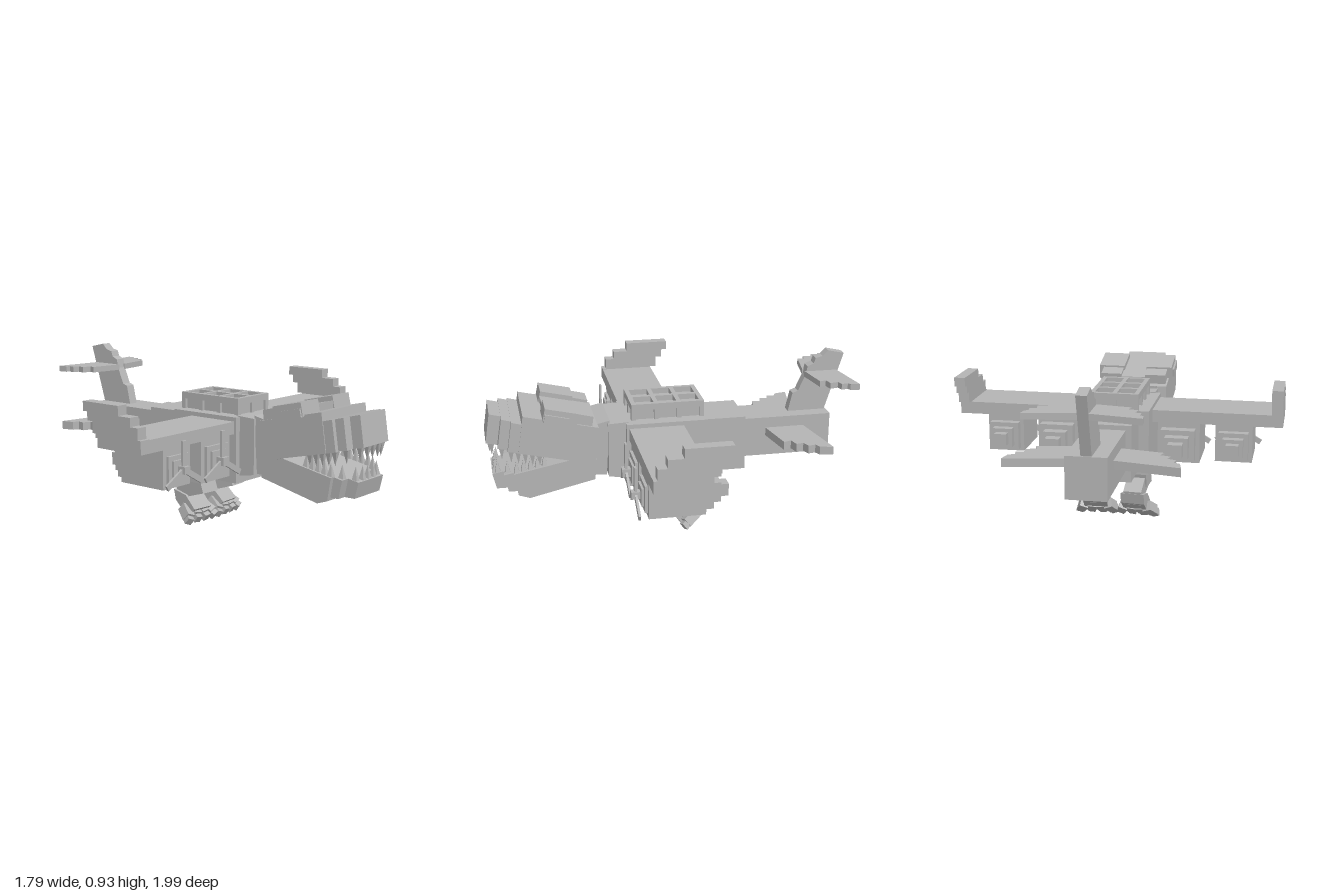
import * as THREE from 'three';

export function createModel() {
  const model = new THREE.Group();
  const grey = new THREE.MeshStandardMaterial({ color: 0xb4b4b4, flatShading: true });
  grey.name = 'grey';

  const add = (name, geometry, parent = model) => {
    const mesh = new THREE.Mesh(geometry, grey);
    mesh.name = name;
    parent.add(mesh);
    return mesh;
  };
  // Box given by its limits on each axis
  const block = (name, [x0, x1], [y0, y1], [z0, z1], parent) => {
    const g = new THREE.BoxGeometry(x1 - x0, y1 - y0, z1 - z0);
    g.translate((x0 + x1) / 2, (y0 + y1) / 2, (z0 + z1) / 2);
    return add(name, g, parent);
  };
  const extrude = (pts, depth) => {
    const shape = new THREE.Shape(pts.map(p => new THREE.Vector2(...p)));
    return new THREE.ExtrudeGeometry(shape, { depth, bevelEnabled: false }).translate(0, 0, -depth / 2);
  };
  // Side profile [z, y] given thickness along x
  const sideSlab = (name, pts, width, x = 0, parent) =>
    add(name, extrude(pts, width).rotateY(-Math.PI / 2).translate(x, 0, 0), parent);
  // Plan profile [x, z] given thickness along y
  const flatSlab = (name, pts, height, y, side) =>
    add(name, extrude(pts.map(([x, z]) => [x * side, z]), height).rotateX(Math.PI / 2).translate(0, y, 0));

  // Fuselage
  block('body', [-0.19, 0.19], [0.285, 0.64], [-0.18, 0.255]);
  block('rearFuselage', [-0.135, 0.135], [0.315, 0.62], [-0.41, -0.17]);
  block('tailBoom', [-0.105, 0.105], [0.375, 0.595], [-0.9, -0.4]);

  // Roof canopy: core with a raised lattice of two by three panes
  block('canopyCore', [-0.115, 0.115], [0.63, 0.7], [-0.165, 0.205]);
  for (const x of [-0.12, 0, 0.12]) {
    block('canopyRail', [x - 0.012, x + 0.012], [0.695, 0.73], [-0.177, 0.22]);
    for (const z of [-0.165, 0.208]) block('canopyPost', [x - 0.012, x + 0.012], [0.63, 0.73], [z - 0.012, z + 0.012]);
  }
  for (let i = 0; i < 4; i++) {
    const z = -0.165 + i * 0.1243;
    block('canopyBar', [-0.132, 0.132], [0.695, 0.73], [z - 0.012, z + 0.012]);
    for (const x of [-0.12, 0.12]) block('canopyPost', [x - 0.012, x + 0.012], [0.63, 0.73], [z - 0.012, z + 0.012]);
  }

  // Neck and head
  sideSlab('neck', [[0.24, 0.645], [0.35, 0.64], [0.35, 0.34], [0.24, 0.32]], 0.32);
  sideSlab('neckCollar', [[0.34, 0.655], [0.43, 0.635], [0.45, 0.35], [0.36, 0.345]], 0.29);
  sideSlab('cranium', [[0.8, 0.73], [0.405, 0.64], [0.4, 0.53], [0.44, 0.42], [0.56, 0.465], [0.83, 0.527]], 0.4);
  sideSlab('browCentre', [[0.69, 0.745], [0.43, 0.685], [0.43, 0.63], [0.69, 0.69]], 0.14);
  for (const s of [1, -1]) {
    sideSlab('brow', [[0.685, 0.77], [0.51, 0.73], [0.52, 0.65], [0.7, 0.7]], 0.15, 0.14 * s);
    sideSlab('rearBrow', [[0.57, 0.735], [0.43, 0.7], [0.44, 0.63], [0.57, 0.66]], 0.12, 0.13 * s);
    sideSlab('eyeRidge', [[0.685, 0.74], [0.56, 0.71], [0.57, 0.665], [0.695, 0.695]], 0.04, 0.205 * s);
  }

  // Jaws narrow in steps towards the tip
  const upperLine = z => 0.465 + (z - 0.56) * 0.227;
  const lowerLine = z => 0.465 - (z - 0.56) * 0.195;
  for (const [z, w] of [[0.885, 0.39], [0.935, 0.34], [0.995, 0.23]]) {
    const top = 0.72 - (0.975 - z) * 0.23;
    sideSlab('upperJaw', [[0.6, 0.63], [z - 0.025, top], [z, upperLine(z)], [0.56, 0.465]], w);
    const zl = z - 0.025;
    sideSlab('lowerJaw', [[0.42, 0.46], [0.56, 0.465], [zl, lowerLine(zl)], [zl - 0.02, z > 0.9 ? 0.3 : 0.285],
      [0.78, z > 0.9 ? 0.3 : 0.265], [0.43, 0.345]], w);
  }

  // Teeth: rows down both sides and across the tip
  const tooth = (x, z, up) => {
    const g = new THREE.ConeGeometry(0.022, 0.075, 4, 1).rotateY(Math.PI / 4);
    if (!up) g.rotateX(Math.PI);
    const y = up ? lowerLine(z) + 0.032 : upperLine(z) - 0.032;
    add(up ? 'lowerTooth' : 'upperTooth', g.translate(x, y, z));
  };
  for (const up of [true, false]) {
    const shift = up ? -0.025 : 0;
    for (const s of [1, -1]) {
      for (let i = 0; i < 5; i++) tooth(0.17 * s, 0.72 + i * 0.037 + shift, up);
      tooth(0.14 * s, 0.915 + shift, up);
      tooth(0.095 * s, 0.965 + shift, up);
    }
    for (const x of [-0.048, 0, 0.048]) tooth(x, 0.975 + shift, up);
  }

  // Tail fin and its feathered surfaces
  sideSlab('tailFin', [[-0.68, 0.59], [-0.705, 0.7], [-0.735, 0.71], [-0.775, 0.8], [-0.785, 0.85], [-0.82, 0.865],
    [-0.83, 0.895], [-0.87, 0.905], [-0.9, 0.935], [-0.99, 0.915], [-0.89, 0.59]], 0.055);
  for (const s of [1, -1]) {
    flatSlab('lowerTailplane', [[0.09, -0.53], [0.33, -0.573], [0.315, -0.615], [0.37, -0.63], [0.36, -0.67],
      [0.405, -0.685], [0.397, -0.725], [0.43, -0.74], [0.445, -0.81], [0.09, -0.745]], 0.045, 0.513, s);
    flatSlab('upperTailplane', [[0.02, -0.83], [0.205, -0.8], [0.195, -0.835], [0.245, -0.845], [0.235, -0.89],
      [0.27, -0.9], [0.265, -0.935], [0.283, -0.945], [0.29, -0.995], [0.02, -0.95]].map(([x, z], i) =>
      i === 0 ? [x, -0.77] : [x, z]), 0.032, 0.805, s);
  }

  // Nacelle: stepped tail, nested front plates and a three-bladed propeller
  const nacelle = (x, y, w, h, back, blade) => {
    const g = new THREE.Group();
    g.name = 'engine';
    g.position.set(x, y, 0);
    model.add(g);
    const stage = (name, k, z0, z1) =>
      block(name, [-w * k, w * k], [-h * k, k === 1 ? 0.55 - y : h * k], [z0, z1], g);
    const step = (back + 0.055) / 3;
    stage('nacelle', 1, -0.055, 0.235);
    stage('nacelleStep', 0.8, -0.055 + step, 0);
    stage('nacelleStep', 0.55, -0.055 + 2 * step, 0);
    stage('nacelleStep', 0.34, back, 0);
    stage('frontPlate', 0.75, 0.2, 0.25);
    stage('frontPlate', 0.5, 0.2, 0.262);
    stage('propellerHub', 0.2, 0.2, 0.308);
    for (let i = 0; i < 3; i++) {
      const b = new THREE.BoxGeometry(0.03, blade, 0.012).translate(0, blade / 2, 0.285);
      add('propellerBlade', b.rotateZ(i * Math.PI * 2 / 3), g);
    }
  };

  for (const s of [1, -1]) {
    // Wing with a raked, stepped tip
    block('wing', [Math.min(0.18 * s, 0.84 * s), Math.max(0.18 * s, 0.84 * s)], [0.55, 0.617], [-0.055, 0.24]);
    const tip = [Math.min(0.835 * s, 0.895 * s), Math.max(0.835 * s, 0.895 * s)];
    [[0.55, 0.62, -0.055, 0.24], [0.62, 0.68, -0.09, 0.22], [0.68, 0.725, -0.125, 0.17], [0.725, 0.775, -0.155, 0.09]]
      .forEach(([y0, y1, z0, z1]) => block('wingTip', tip, [y0, y1], [z0, z1]));
    nacelle(0.335 * s, 0.437, 0.115, 0.108, -0.225, 0.16);
    nacelle(0.635 * s, 0.442, 0.1, 0.095, -0.185, 0.147);

    // Leg: thigh, bent knee, and a foot with four splayed toes
    const leg = new THREE.Group();
    leg.name = 'leg';
    leg.position.x = 0.12 * s;
    leg.rotation.y = 0.08 * s;
    model.add(leg);
    sideSlab('thigh', [[-0.02, 0.3], [-0.13, 0.3], [-0.1, 0.19], [0.02, 0.19]], 0.115, 0, leg);
    sideSlab('shin', [[0.018, 0.19], [-0.11, 0.25], [-0.2, 0.19], [-0.18, 0.11], [-0.11, 0.15]], 0.1, 0, leg);
    sideSlab('foot', [[-0.11, 0.16], [-0.205, 0.18], [-0.19, 0.12], [-0.1, 0.04], [-0.04, 0.09]], 0.13, 0, leg);
    for (let i = 0; i < 4; i++) {
      const k = i - 1.5;
      const toe = new THREE.Group();
      toe.position.set(k * 0.052, 0.07 - Math.abs(k) * 0.003, -0.085);
      toe.rotation.set(0.6, k * 0.22, k * 0.13);
      toe.name = 'toe';
      leg.add(toe);
      block('toeBase', [-0.024, 0.024], [-0.03, 0.025], [-0.05, 0.035], toe);
      block('toeTip', [-0.02, 0.02], [-0.03, 0.012], [0.03, 0.06], toe);
    }
  }
  return model;
}
